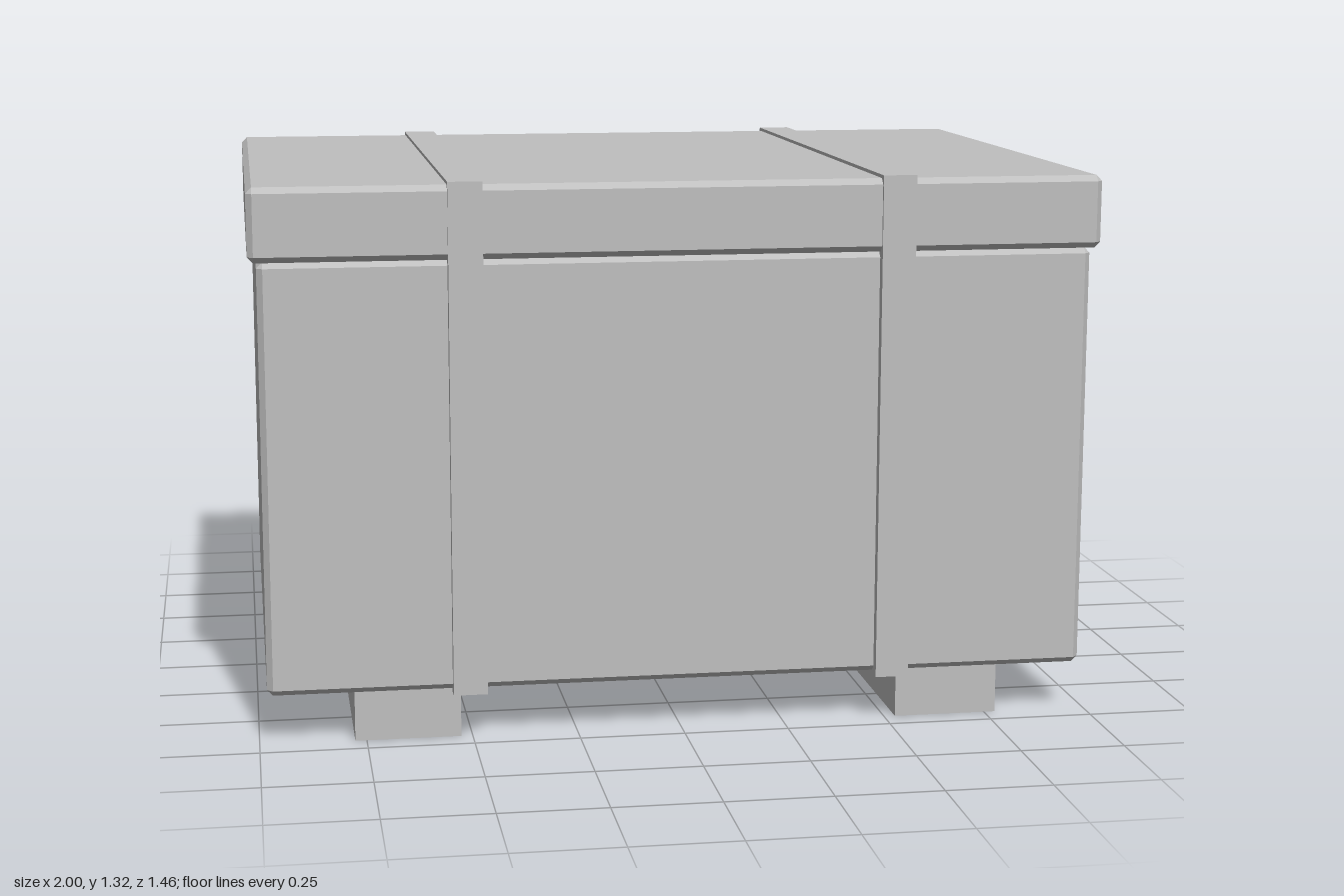
import * as THREE from 'three';
import { ConvexGeometry } from 'three/addons/geometries/ConvexGeometry.js';

// Box with flat bevels along every edge, spanning y0..y1
function bevelledBox(hx, y0, y1, hz, bevel) {
  const hy = (y1 - y0) / 2;
  const points = [];
  for (const sx of [-1, 1]) for (const sy of [-1, 1]) for (const sz of [-1, 1]) {
    for (let axis = 0; axis < 3; axis++) {
      const inset = [bevel, bevel, bevel];
      inset[axis] = 0;
      points.push(new THREE.Vector3(sx * (hx - inset[0]), sy * (hy - inset[1]), sz * (hz - inset[2])));
    }
  }
  return new ConvexGeometry(points).translate(0, (y0 + y1) / 2, 0);
}

// Closed rectangular band in the y-z plane, extruded along x
function bandGeometry(hz, y0, y1, thickness, width) {
  const rectangle = (target, w, a, b) =>
    target.moveTo(-w, a).lineTo(w, a).lineTo(w, b).lineTo(-w, b).closePath();
  const shape = rectangle(new THREE.Shape(), hz, y0, y1);
  shape.holes.push(rectangle(new THREE.Path(), hz - thickness, y0 + thickness, y1 - thickness));
  return new THREE.ExtrudeGeometry(shape, { depth: width, bevelEnabled: false })
    .translate(0, 0, -width / 2)
    .rotateY(Math.PI / 2);
}

export function createModel() {
  const model = new THREE.Group();
  model.name = 'crate';
  const grey = new THREE.MeshStandardMaterial({ color: 0xbfbfbf });
  grey.name = 'grey';

  const add = (name, geometry, x = 0, y = 0) => {
    const mesh = new THREE.Mesh(geometry, grey);
    mesh.name = name;
    mesh.position.set(x, y, 0);
    model.add(mesh);
  };

  // Body and overhanging lid
  add('body', bevelledBox(0.98, 0.12, 1.138, 0.708, 0.014));
  add('lid', bevelledBox(1, 1.138, 1.31, 0.725, 0.014));

  // Straps wrapped all the way round, and skids beneath
  for (const [side, s] of [['left', 1], ['right', -1]]) {
    add(side + 'Strap', bandGeometry(0.732, 0.112, 1.318, 0.03, 0.08), s * 0.507);
    add(side + 'Skid', new THREE.BoxGeometry(0.25, 0.12, 1.38), s * 0.652, 0.06);
  }
  return model;
}
